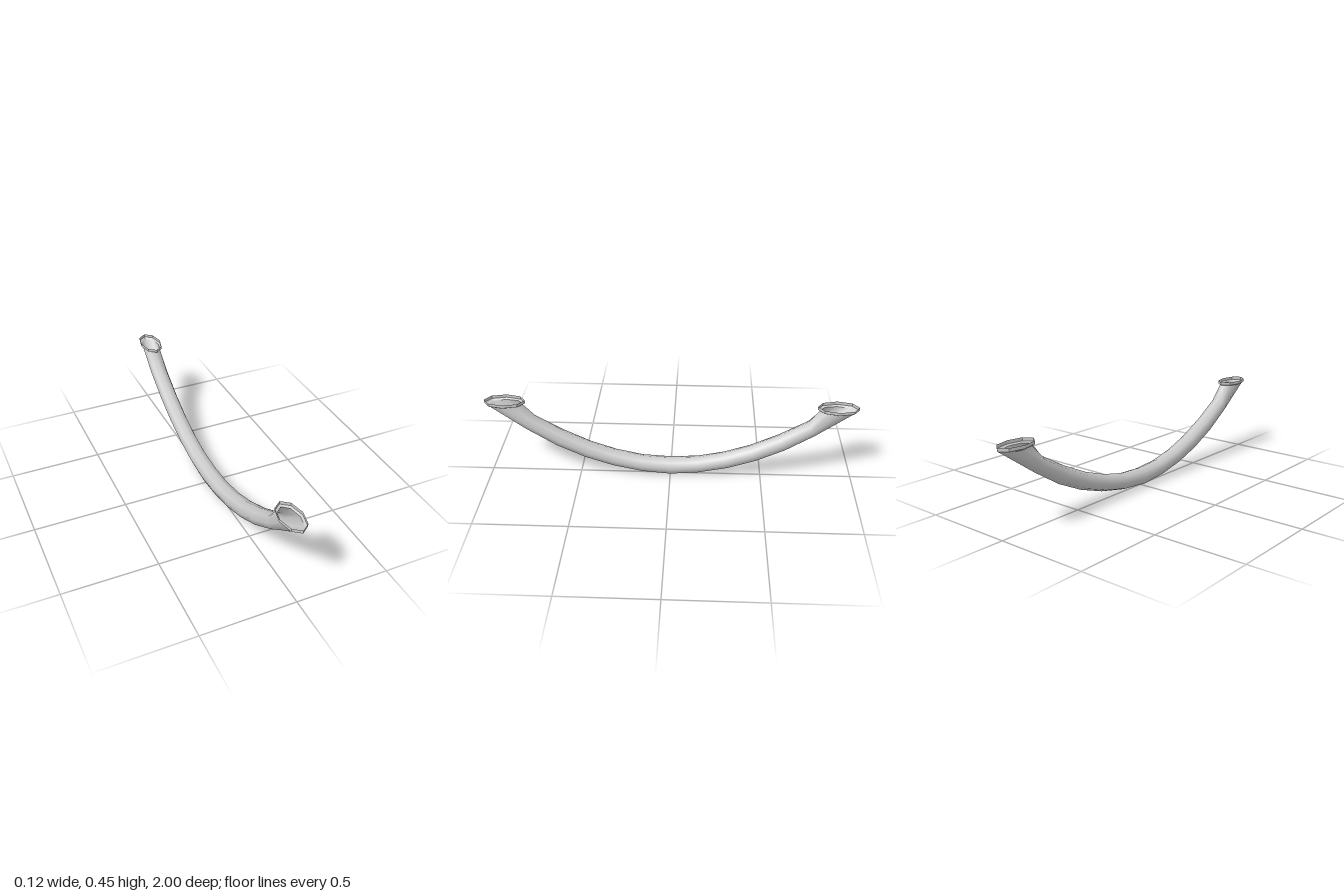
import * as THREE from 'three';
import { toCreasedNormals } from 'three/addons/utils/BufferGeometryUtils.js';

const SIDES = 8;

// Skin a row of octagonal rings; each is [halfWidth, topZ, topY, bottomZ, bottomY]
function loft(rings) {
  const pos = [], index = [];
  for (const [w, tz, ty, bz, by] of rings) {
    for (let i = 0; i < SIDES; i++) {
      const a = (i / SIDES) * Math.PI * 2;
      const t = (1 - Math.cos(a)) / 2;
      pos.push(w * Math.sin(a), ty + (by - ty) * t, tz + (bz - tz) * t);
    }
  }
  for (let r = 0; r < rings.length - 1; r++) {
    for (let i = 0; i < SIDES; i++) {
      const j = (i + 1) % SIDES;
      const a = r * SIDES + i, b = r * SIDES + j;
      const c = a + SIDES, d = b + SIDES;
      index.push(a, b, c, b, d, c);
    }
  }
  const geo = new THREE.BufferGeometry();
  geo.setAttribute('position', new THREE.Float32BufferAttribute(pos, 3));
  geo.setIndex(index);
  geo.computeVertexNormals();
  return geo;
}

export function createModel() {
  const group = new THREE.Group();
  const material = new THREE.MeshStandardMaterial({ color: 0xcccccc, side: THREE.DoubleSide });

  // Curved hollow pipe: inner-bend and outer-bend points, end to middle, then mirrored
  const w = 0.049;
  const half = [
    [w, 0.795, 0.425, 0.985, 0.42],
    [w, 0.735, 0.347, 0.783, 0.276],
    [w, 0.585, 0.26, 0.628, 0.176],
    [w, 0.435, 0.188, 0.473, 0.102],
    [w, 0.295, 0.139, 0.318, 0.05],
    [w, 0.152, 0.108, 0.158, 0.016],
  ];
  const mirrored = half.map(([x, tz, ty, bz, by]) => [x, -tz, ty, -bz, by]).reverse();
  const pipe = new THREE.Mesh(loft([...half, [w, 0, 0.1, 0, 0.001], ...mirrored]), material);
  pipe.name = 'curvedPipe';
  group.add(pipe);

  // Horizontal open collar on each end: upright wall, then a chamfer down to the pipe
  const collarGeo = toCreasedNormals(loft([
    [0.06, 0.78, 0.447, 1, 0.447],
    [0.06, 0.78, 0.43, 1, 0.43],
    [0.049, 0.795, 0.425, 0.985, 0.42],
  ]), 0.4);
  for (const [name, turn] of [['frontCollar', 0], ['backCollar', Math.PI]]) {
    const collar = new THREE.Mesh(collarGeo, material);
    collar.name = name;
    collar.rotation.y = turn;
    group.add(collar);
  }
  return group;
}
